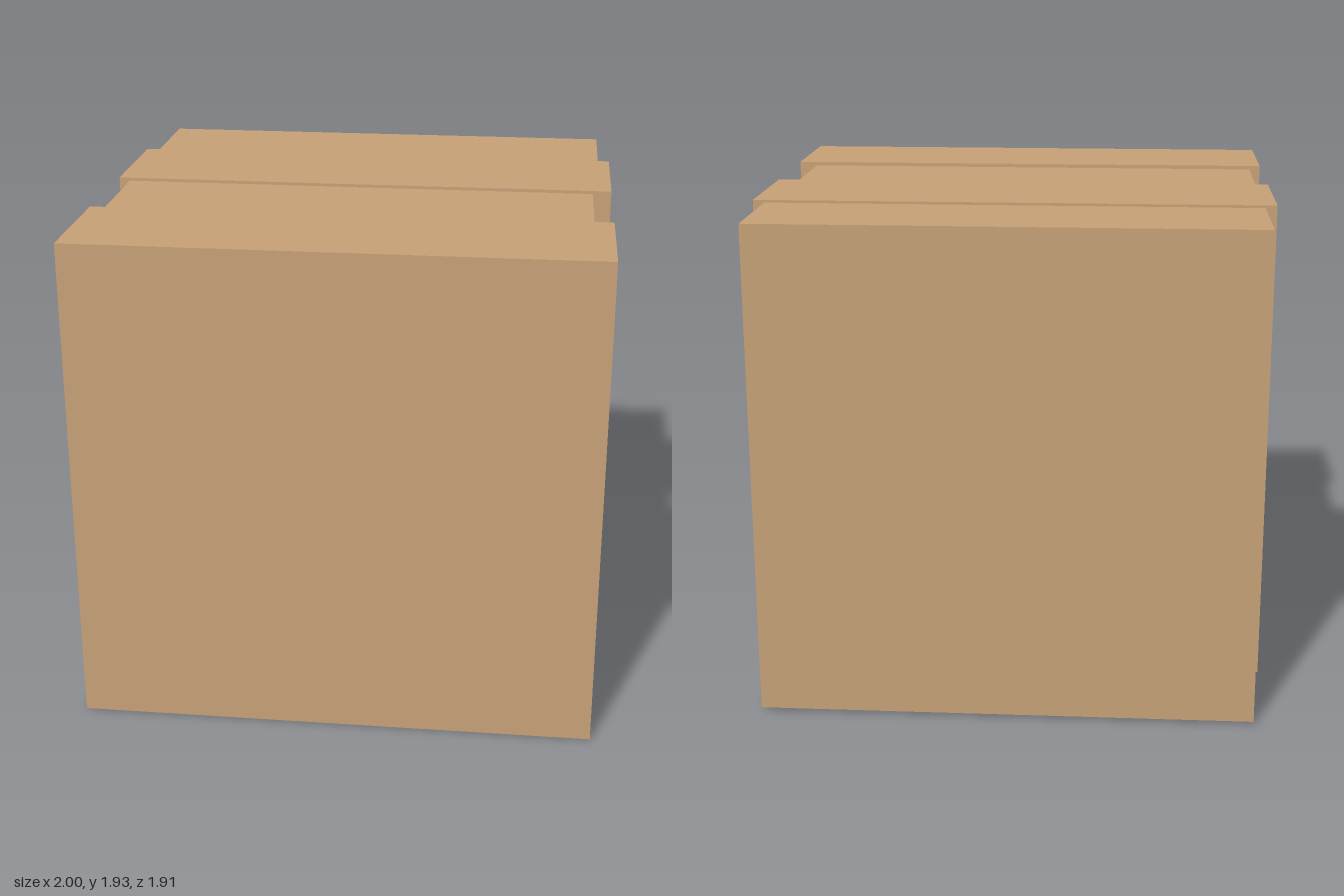
import * as THREE from 'three';

export function createModel() {
  const group = new THREE.Group();
  group.name = 'slabStack';
  const material = new THREE.MeshStandardMaterial({ color: 0xc8a278 });

  // Upright slab filling the given x, y and z ranges
  function slab(name, [x0, x1], [y0, y1], [z0, z1]) {
    const mesh = new THREE.Mesh(new THREE.BoxGeometry(x1 - x0, y1 - y0, z1 - z0), material);
    mesh.position.set((x0 + x1) / 2, (y0 + y1) / 2, (z0 + z1) / 2);
    mesh.name = name;
    group.add(mesh);
  }

  // Front pair: wide panel with a narrower block behind it
  slab('frontPanel', [-1, 1], [0, 1.935], [0.457, 0.955]);
  slab('frontBlock', [-0.955, 0.927], [0.01, 1.92], [0, 0.457]);

  // Rear pair, separated from the front pair by a hairline gap
  slab('rearPanel', [-1, 1], [0.008, 1.93], [-0.508, -0.008]);
  slab('rearBlock', [-0.955, 0.955], [0.01, 1.92], [-0.955, -0.508]);

  return group;
}
